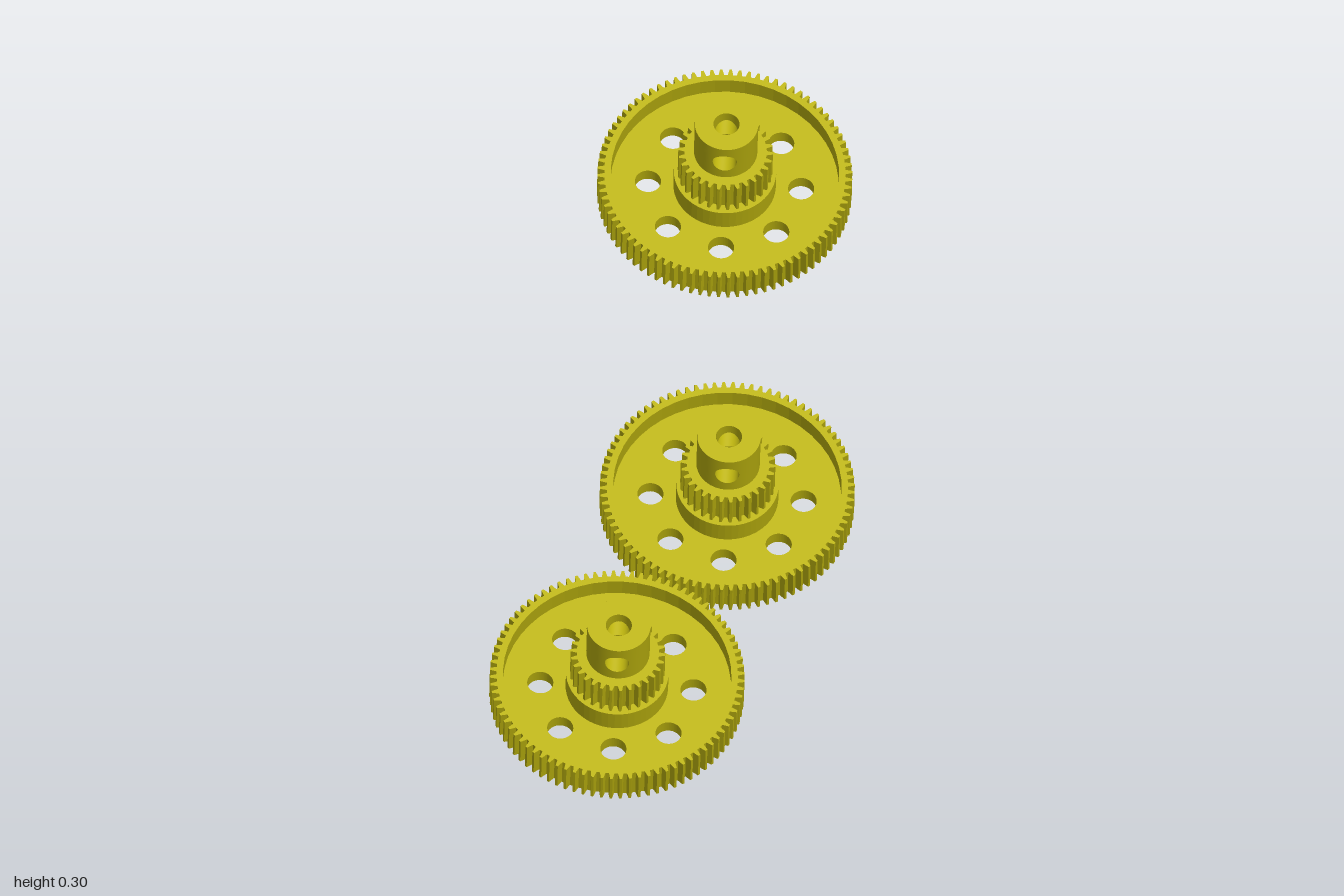
import * as THREE from 'three';
import { ParametricGeometry } from 'three/addons/geometries/ParametricGeometry.js';

const BORE = 0.0232;
const WHEEL_R = 0.226;
const TILT = THREE.MathUtils.degToRad(20);
const material = new THREE.MeshStandardMaterial({ color: 0xbdb40f, side: THREE.DoubleSide });

// Circular path, used for outlines and holes
function circle(Type, r, x = 0, y = 0) {
  const path = new Type();
  path.absarc(x, y, r, 0, Math.PI * 2, false);
  return path;
}

// Outline of a spur gear with trapezoid teeth
function gearShape(teeth, root, outer) {
  const pts = [];
  const pitch = (Math.PI * 2) / teeth;
  for (let i = 0; i < teeth; i++) {
    for (const [f, r] of [[-0.31, root], [-0.13, outer], [0.13, outer], [0.31, root]]) {
      const a = (i + f) * pitch;
      pts.push(new THREE.Vector2(r * Math.cos(a), r * Math.sin(a)));
    }
  }
  return new THREE.Shape(pts);
}

// Upright slab from a flat shape between two heights
function slab(name, shape, y0, y1) {
  const geo = new THREE.ExtrudeGeometry(shape, { depth: y1 - y0, bevelEnabled: false, curveSegments: 24 });
  geo.rotateX(-Math.PI / 2).translate(0, y0, 0);
  const mesh = new THREE.Mesh(geo, material);
  mesh.name = name;
  return mesh;
}

// Hub: tube with a screw hole drilled through front and back
function createHub(r, y0, y1, holeR) {
  const hub = new THREE.Group();
  hub.name = 'hub';
  const mid = (y0 + y1) / 2;
  const half = (y1 - y0) / 2;
  const add = (name, geo) => {
    const mesh = new THREE.Mesh(geo, material);
    mesh.name = name;
    hub.add(mesh);
    return mesh;
  };
  // Half a cylinder wall, spread from the round hole out to its rectangular border
  const wall = (R) => (u, v, target) => {
    const a = u * Math.PI * 2, c = Math.cos(a), s = Math.sin(a);
    const k = 1 / Math.max(Math.abs(c), Math.abs(s));
    const theta = THREE.MathUtils.lerp(Math.asin((holeR * c) / R), (Math.PI / 2) * c * k, v);
    const y = THREE.MathUtils.lerp(holeR * s, half * s * k, v);
    target.set(R * Math.sin(theta), mid + y, R * Math.cos(theta));
  };
  // Lining of the screw hole from the outer wall to the bore
  const lining = (u, v, target) => {
    const a = u * Math.PI * 2, x = holeR * Math.cos(a);
    const z = THREE.MathUtils.lerp(Math.sqrt(r * r - x * x), Math.sqrt(BORE * BORE - x * x), v);
    target.set(x, mid + holeR * Math.sin(a), z);
  };
  for (const turn of [0, Math.PI]) {
    add('hubWall', new ParametricGeometry(wall(r), 96, 8)).rotation.y = turn;
    add('hubBore', new ParametricGeometry(wall(BORE), 96, 8)).rotation.y = turn;
    add('screwHole', new ParametricGeometry(lining, 96, 2)).rotation.y = turn;
  }
  add('hubTop', new THREE.RingGeometry(BORE, r, 64).rotateX(-Math.PI / 2).translate(0, y1, 0));
  return hub;
}

function createGear() {
  const gear = new THREE.Group();

  // Toothed rim around a thin web
  const rim = gearShape(84, 0.214, WHEEL_R);
  rim.holes.push(circle(THREE.Path, 0.2027));
  gear.add(slab('toothedRim', rim, 0, 0.06));

  // Web with eight round holes and the bore
  const web = circle(THREE.Shape, 0.2027);
  web.holes.push(circle(THREE.Path, BORE));
  for (let i = 0; i < 8; i++) {
    const a = (i * Math.PI) / 4;
    web.holes.push(circle(THREE.Path, 0.0232, 0.136 * Math.cos(a), 0.136 * Math.sin(a)));
  }
  gear.add(slab('web', web, 0, 0.025));

  // Collar, pinion and hub stacked on the web
  const collar = circle(THREE.Shape, 0.091);
  collar.holes.push(circle(THREE.Path, BORE));
  gear.add(slab('collar', collar, 0.025, 0.067));

  const pinion = gearShape(30, 0.073, 0.084);
  pinion.holes.push(circle(THREE.Path, BORE));
  gear.add(slab('pinion', pinion, 0.067, 0.129));

  gear.add(createHub(0.0563, 0.129, 0.2125, 0.0215));
  return gear;
}

export function createModel() {
  const model = new THREE.Group();
  model.name = 'gears';
  const gear = createGear();
  const places = [['frontGear', -0.099, 0.767], ['middleGear', 0.099, 0.182], ['backGear', 0.099, -0.788]];
  for (const [name, x, z] of places) {
    const copy = gear.clone();
    copy.name = name;
    copy.position.set(x, WHEEL_R * Math.sin(TILT), z);
    copy.rotation.set(TILT, -0.05, -0.017, 'XZY');
    model.add(copy);
  }
  return model;
}
